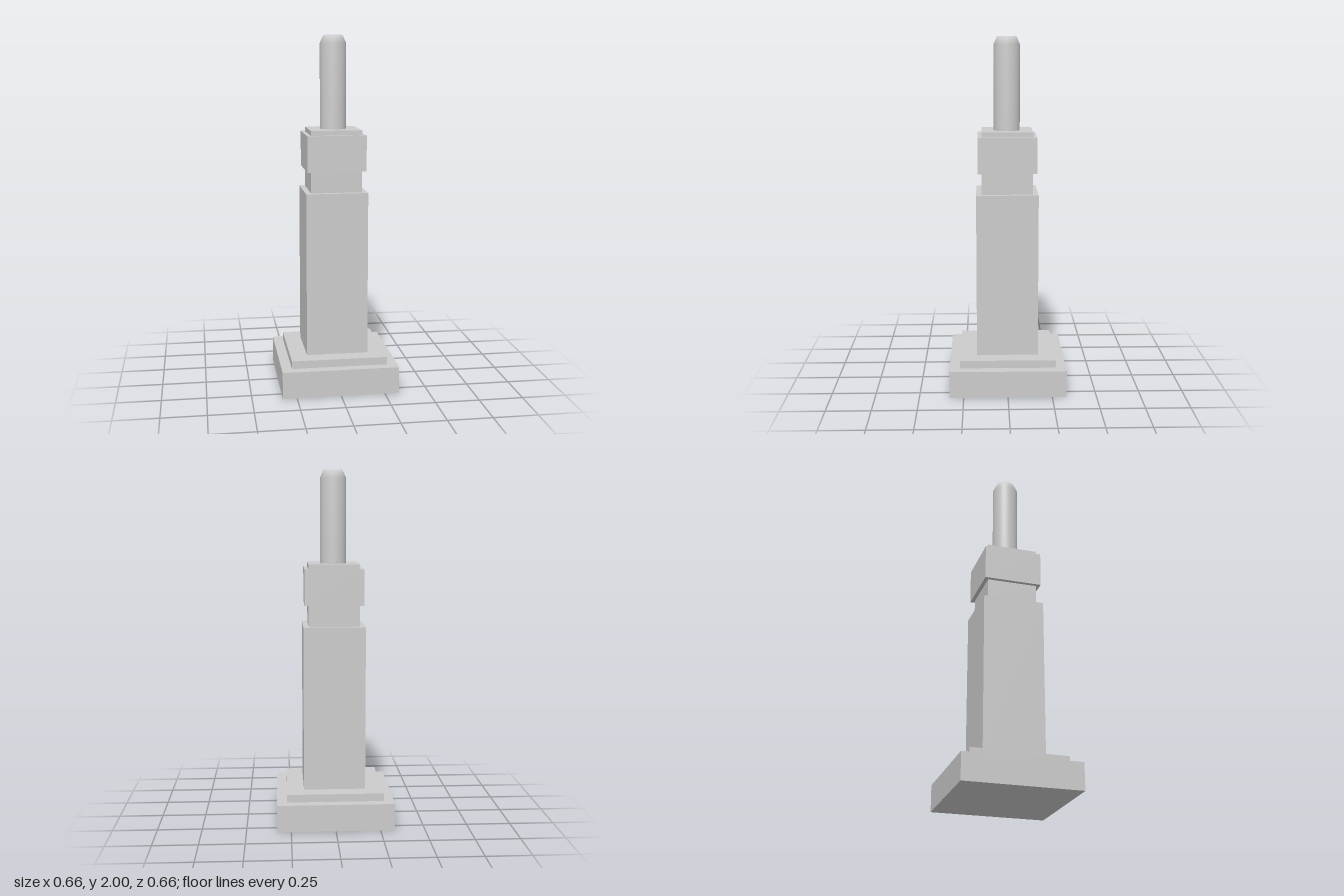
import * as THREE from 'three';

export function createModel() {
  const group = new THREE.Group();
  const material = new THREE.MeshStandardMaterial({ color: 0xcccccc });

  const add = (name, geometry, y = 0) => {
    const mesh = new THREE.Mesh(geometry, material);
    mesh.name = name;
    mesh.position.y = y;
    group.add(mesh);
  };

  // Stacked square blocks: name, width, bottom, top
  const blocks = [
    ['base', 0.66, 0, 0.153],
    ['plinth', 0.544, 0.153, 0.197],
    ['shaft', 0.35, 0.197, 1.128],
    ['neck', 0.288, 1.128, 1.248],
    ['capital', 0.332, 1.248, 1.45],
    ['topPlate', 0.288, 1.45, 1.477],
  ];
  for (const [name, width, bottom, top] of blocks) {
    add(name, new THREE.BoxGeometry(width, top - bottom, width), (bottom + top) / 2);
  }

  // Round rod with a softly shaded, bevelled tip
  const profile = [
    [0.074, 1.477],
    [0.074, 1.955],
    [0.054, 2],
    [0, 2],
  ].map(([r, y]) => new THREE.Vector2(r, y));
  add('rod', new THREE.LatheGeometry(profile, 48));

  return group;
}
